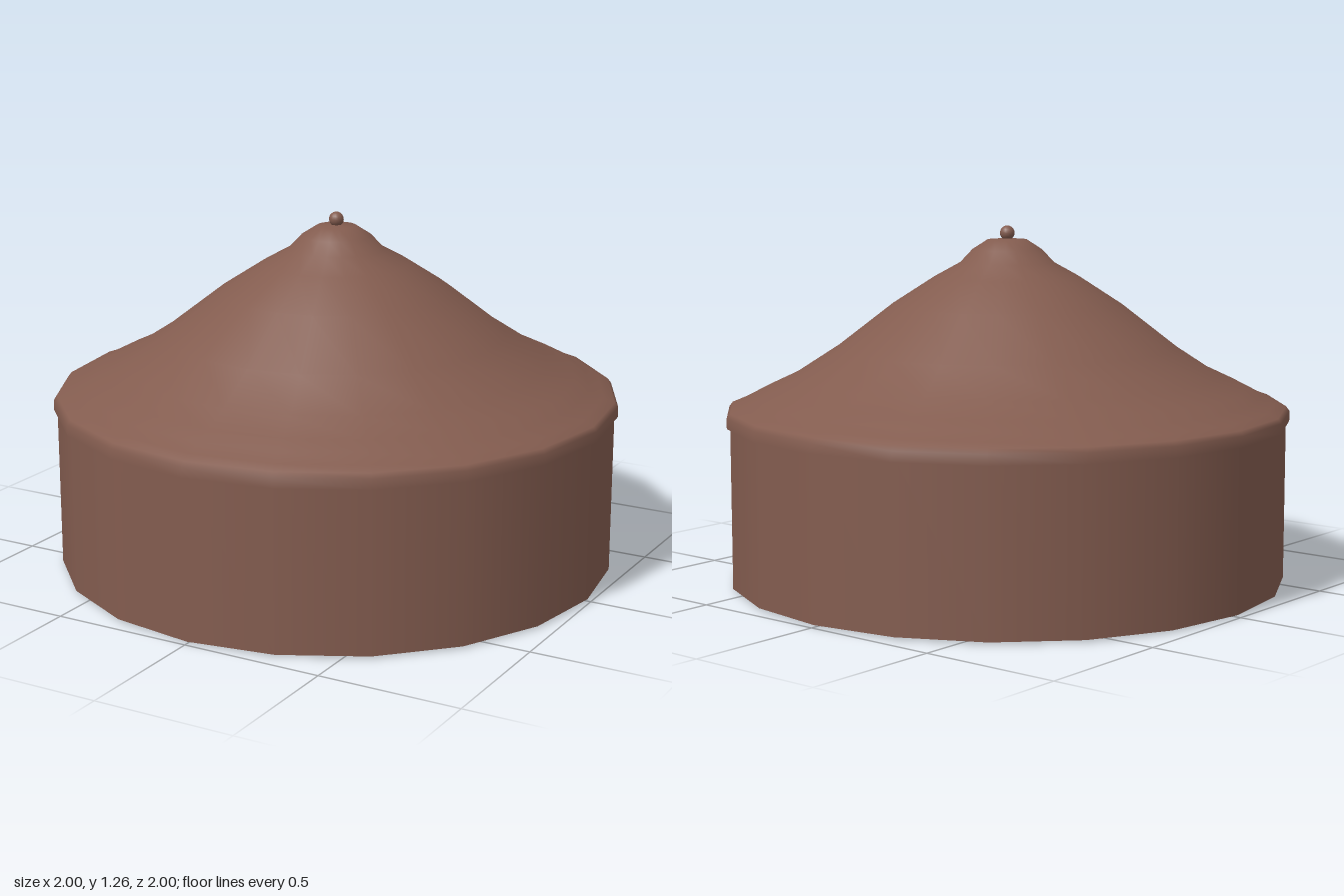
import * as THREE from 'three';

const SIDES = 20;

export function createModel() {
  const model = new THREE.Group();
  const mat = (color) => new THREE.MeshStandardMaterial({ color });
  const brown = mat(0x835c4f);
  const dark = mat(0x6f6e66);
  const slate = mat(0x868686);
  const lining = mat(0x9e998f);
  const grey = mat(0xcccccc);

  const add = (name, geometry, material) => {
    const mesh = new THREE.Mesh(geometry, material);
    mesh.name = name;
    model.add(mesh);
    return mesh;
  };
  // Turned twenty-sided strip from [radius, height] pairs
  const turn = (name, profile, material) =>
    add(name, new THREE.LatheGeometry(profile.map(([r, y]) => new THREE.Vector2(r, y)), SIDES), material);

  // Tent-shaped roof with a rounded eave, and its underside
  turn('roof', [
    [1, 0.572], [1, 0.608], [0.988, 0.624], [0.95, 0.638], [0.9, 0.664], [0.85, 0.69], [0.75, 0.737],
    [0.6, 0.834], [0.406, 0.984], [0.257, 1.08], [0.166, 1.13], [0.123, 1.176], [0.07, 1.21], [0, 1.215],
  ], brown);
  turn('eaveUnderside', [[0.97, 0.572], [1, 0.572]], brown);
  const finial = add('finial', new THREE.SphereGeometry(0.026, 16, 12), brown);
  finial.position.y = 1.233;

  // Drum wall with a lining and a thin bottom edge
  turn('outerWall', [[0.988, 0.007], [0.988, 0.6]], brown);
  turn('wallBottomEdge', [[0.97, 0.007], [0.988, 0.007]], brown);
  turn('wallLining', [[0.97, 0.14], [0.97, 0.007]], lining);

  // Recessed floor and central hub
  const floor = add('recessedFloor', new THREE.CylinderGeometry(0.97, 0.97, 0.02, SIDES), dark);
  floor.position.y = 0.145;
  const hub = add('hub', new THREE.CylinderGeometry(0.4, 0.4, 0.125, 40), [grey, dark, mat(0x585858)]);
  hub.position.y = 0.0745;

  // Lowered floor wedges between the two side recesses (degrees from +x towards +z)
  const wedge = (name, degrees, bottom, faceMaterial, sideMaterial) => {
    const at = (d, r) => new THREE.Vector2(Math.cos(d * Math.PI / 180) * r, Math.sin(d * Math.PI / 180) * r);
    const outer = degrees.map((d) => at(d, 0.969));
    const inner = degrees.map((d) => at(d, 0.395)).reverse();
    const geometry = new THREE.ExtrudeGeometry(new THREE.Shape([...outer, ...inner]), { depth: 0.137 - bottom, bevelEnabled: false });
    geometry.rotateX(Math.PI / 2).translate(0, 0.137, 0);
    add(name, geometry, [faceMaterial, sideMaterial]);
  };
  wedge('frontFloorWedge', [73, 90, 107], 0, dark, brown);
  wedge('backFloorWedge', [234, 252, 270, 288, 306], 0.009, slate, grey);

  return model;
}
